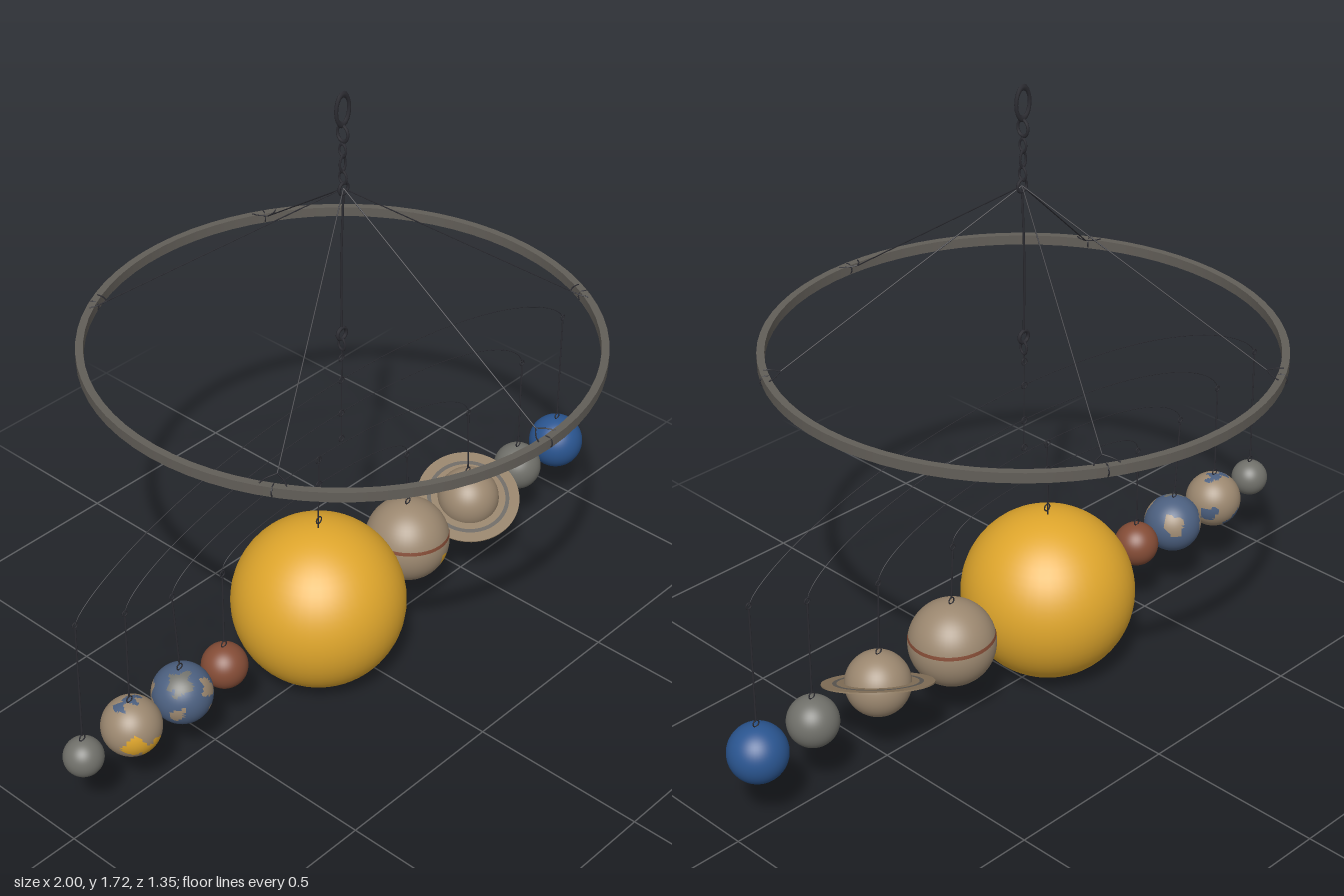
import * as THREE from 'three';

const mat = (name, color) => {
  const m = new THREE.MeshStandardMaterial({ color });
  m.name = name;
  return m;
};

export function createModel() {
  const root = new THREE.Group();
  root.name = 'planetMobile';
  const yellow = mat('sunYellow', 0xdfa62c);
  const tan = mat('tan', 0x9c8870);
  const blue = mat('deepBlue', 0x2a5590);
  const slate = mat('slateBlue', 0x4c6080);
  const red = mat('rustRed', 0x844c36);
  const gray = mat('stoneGray', 0x70706a);
  const brown = mat('ringBrown', 0x8e7a60);
  const hoopMat = mat('hoopGray', 0x625e58);
  const wireMat = mat('wireBlack', 0x2c2c32);

  const V = (x, y, z = 0) => new THREE.Vector3(x, y, z);
  const add = (name, geo, material, parent = root) => {
    const m = new THREE.Mesh(geo, material);
    m.name = name;
    parent.add(m);
    return m;
  };
  const wire = (name, pts, r) => {
    const curve = pts.length === 2 ? new THREE.LineCurve3(...pts) : new THREE.CatmullRomCurve3(pts);
    return add(name, new THREE.TubeGeometry(curve, pts.length === 2 ? 1 : pts.length * 2, r, 6), wireMat);
  };
  // Small eyelet; turned ones face sideways
  const loop = (name, x, y, r, turned = false, tube = 0.0018, stretch = 1) => {
    const m = add(name, new THREE.TorusGeometry(r, tube, 6, 18), wireMat);
    m.position.set(x, y, 0);
    m.scale.y = stretch;
    if (turned) m.rotation.y = Math.PI / 2;
    return m;
  };
  // Flat ring with a sharp rectangular section: doubled corners keep the edges crisp
  const flatRing = (name, a, b, y0, y1, m, parent = root) => {
    const p = [[a, y0], [b, y0], [b, y1], [a, y1], [a, y0]];
    const pts = [];
    for (let i = 0; i < 4; i++) pts.push(new THREE.Vector2(...p[i]), new THREE.Vector2(...p[i + 1]));
    return add(name, new THREE.LatheGeometry(pts, 72), m, parent);
  };

  flatRing('hoop', 0.653, 0.673, 1.005, 1.032, hoopMat).position.z = -0.004;

  // Five strings, each forking just before the hoop
  const apex = V(0, 1.457);
  for (const deg of [90, 28.6, 151.4, -61.5, -118.5]) {
    const a = THREE.MathUtils.degToRad(deg);
    const at = (r, da, y) => V(r * Math.cos(a + da), y, r * Math.sin(a + da) - 0.004);
    const knot = at(0.625, 0, 1.04);
    wire('string', [apex, knot], 0.0017);
    for (const s of [-1, 1]) {
      wire('stringFork', [knot, at(0.645, s * 0.035, 1.036), at(0.663, s * 0.05, 1.033)], 0.0017);
    }
    const wrap = loop('stringWrap', 0, 0, 0.0145);
    wrap.position.copy(at(0.663, 0, 1.0185));
    wrap.rotation.y = -a;
  }

  // Hanging chain
  loop('topLink', -0.003, 1.672, 0.023, false, 0.005, 1.75);
  loop('chainLink', -0.003, 1.608, 0.017, true, 0.004, 1.25);
  loop('chainLink', -0.003, 1.563, 0.011, true, 0.003, 1.5);
  loop('chainLink', -0.003, 1.526, 0.01, false, 0.003, 2);
  loop('chainLink', -0.002, 1.488, 0.012, true, 0.003, 1.4);
  loop('apexRing', 0, 1.457, 0.016, false, 0.004);

  // Centre wire with its eyelets
  wire('centreWire', [V(0, 1.45), V(-0.004, 1.25, -0.004), V(-0.006, 1.05)], 0.003);
  loop('centreHook', -0.006, 1.042, 0.016, false, 0.005);
  loop('centreHook', -0.006, 1.01, 0.011, true, 0.003, 1.5);
  wire('centreWire', [V(-0.006, 1.0), V(-0.008, 0.715)], 0.0014);
  for (const y of [0.97, 0.902, 0.8, 0.72]) loop('centreEyelet', -0.008, y, 0.009);

  // Arched wires: left end, right end, crown, roundness
  const arches = [
    [[-0.943, 0.66], [0.922, 0.66], [-0.008, 0.903], 0.7],
    [[-0.785, 0.602], [0.743, 0.592], [-0.008, 0.802], 0.6],
    [[-0.628, 0.562], [0.512, 0.538], [-0.093, 0.705], 0.55],
    [[-0.453, 0.532], [0.254, 0.532], [-0.093, 0.62], 0.38],
  ];
  for (const [l, r, c, q] of arches) {
    const pts = [];
    for (let i = -20; i <= 20; i++) {
      const t = Math.sin((i / 20) * Math.PI / 2);
      const end = t < 0 ? l : r;
      const x = c[0] + Math.abs(t) * (end[0] - c[0]);
      const y = end[1] + (c[1] - end[1]) * Math.pow(Math.max(0, 1 - t * t), q);
      pts.push(V(x, y));
    }
    wire('archWire', pts, 0.001);
  }
  // Wire carrying the sun
  wire('sunWire', [V(-0.093, 0.706), V(-0.098, 0.48)], 0.002);
  for (const y of [0.697, 0.618, 0.503]) loop('sunEyelet', -0.095, y, 0.01);

  // Ball whose faces take a patch material near any listed direction:
  // patches are [material index, x, y, z, angle]
  const ball = (name, x, y, r, materials, patches = []) => {
    const geo = new THREE.SphereGeometry(r, 48, 32);
    if (patches.length) {
      const spots = patches.map(([m, a, b, c, ang]) => ({ m, d: V(a, b, c).normalize(), ang }));
      const pos = geo.attributes.position, idx = geo.index.array;
      const lists = materials.map(() => []);
      for (let i = 0; i < idx.length; i += 3) {
        const mid = V(0, 0);
        for (let k = 0; k < 3; k++) mid.add(V(0, 0).fromBufferAttribute(pos, idx[i + k]));
        mid.normalize();
        // wavy coastline
        const wob = 0.07 * Math.sin(mid.x * 11 + mid.y * 7) + 0.06 * Math.sin(mid.z * 13 - mid.y * 9);
        const hit = spots.find((s) => mid.angleTo(s.d) < s.ang + wob);
        lists[hit ? hit.m : 0].push(idx[i], idx[i + 1], idx[i + 2]);
      }
      geo.setIndex(lists.flat());
      let start = 0;
      lists.forEach((list, m) => {
        geo.addGroup(start, list.length, m);
        start += list.length;
      });
    }
    const mesh = add(name, geo, patches.length ? materials : materials[0]);
    mesh.position.set(x, y, 0);
    return mesh;
  };

  ball('sun', -0.099, 0.242, 0.237, [yellow]);
  ball('smallGrayPlanet', -0.948, 0.248, 0.052, [gray]);
  ball('cloudyPlanet', -0.786, 0.243, 0.079, [tan, yellow, slate], [
    [1, -0.6, -0.1, 0.8, 0.36], [1, 0.1, -0.5, 0.85, 0.42],
    [2, -0.35, 0.92, -0.1, 0.2], [2, 0, 1, -0.05, 0.22], [2, 0.4, 0.9, 0, 0.2],
    [2, -0.2, -0.7, -0.7, 0.5], [2, 0.85, -0.1, -0.5, 0.3],
  ]);
  ball('oceanPlanet', -0.609, 0.238, 0.081, [slate, tan, gray], [
    [1, 0.4, 0.4, 0.85, 0.33], [1, 0.45, -0.5, 0.75, 0.25], [1, -0.75, -0.1, 0.65, 0.25],
    [2, -0.4, 0.85, 0.35, 0.4], [1, 0.7, 0.4, -0.6, 0.4], [1, -0.7, 0.1, -0.7, 0.35],
  ]);
  ball('redPlanet', -0.456, 0.234, 0.062, [red]);
  const giant = ball('bandedPlanet', 0.261, 0.246, 0.118, [tan, yellow], [
    [1, 0.2, -0.33, 0.92, 0.11],
  ]);
  const band = add('redBand', new THREE.SphereGeometry(0.1186, 48, 2, 0, Math.PI * 2, 1.32, 0.085), red, giant);
  band.rotation.z = -0.04;
  ball('outerGrayPlanet', 0.743, 0.238, 0.068, [gray]);
  ball('bluePlanet', 0.922, 0.235, 0.078, [blue]);

  // Ringed planet with flat tilted rings
  const ringed = ball('ringedPlanet', 0.523, 0.244, 0.087, [tan]);
  const rings = new THREE.Group();
  rings.name = 'tiltedRings';
  rings.quaternion.setFromUnitVectors(V(0, 1, 0), V(-0.3, 1, 0.33).normalize());
  ringed.add(rings);
  flatRing('innerRing', 0.086, 0.106, -0.002, 0.002, brown, rings);
  flatRing('darkRing', 0.106, 0.117, -0.002, 0.002, hoopMat, rings);
  flatRing('outerRing', 0.117, 0.146, -0.002, 0.002, brown, rings);

  // Drop wires: arch end, then planet x and top
  const drops = [
    [-0.943, 0.66, -0.948, 0.3], [-0.785, 0.602, -0.788, 0.322], [-0.628, 0.562, -0.614, 0.319],
    [-0.453, 0.532, -0.456, 0.296], [0.254, 0.532, 0.261, 0.364], [0.512, 0.538, 0.518, 0.331],
    [0.743, 0.592, 0.743, 0.306], [0.922, 0.66, 0.922, 0.313],
  ];
  for (const [x, y, px, top] of drops) {
    loop('archEyelet', x, y, 0.008);
    wire('dropWire', [V(x, y - 0.008), V(px, top + 0.016)], 0.0024);
    loop('planetEyelet', px, top + 0.008, 0.009);
  }
  return root;
}
